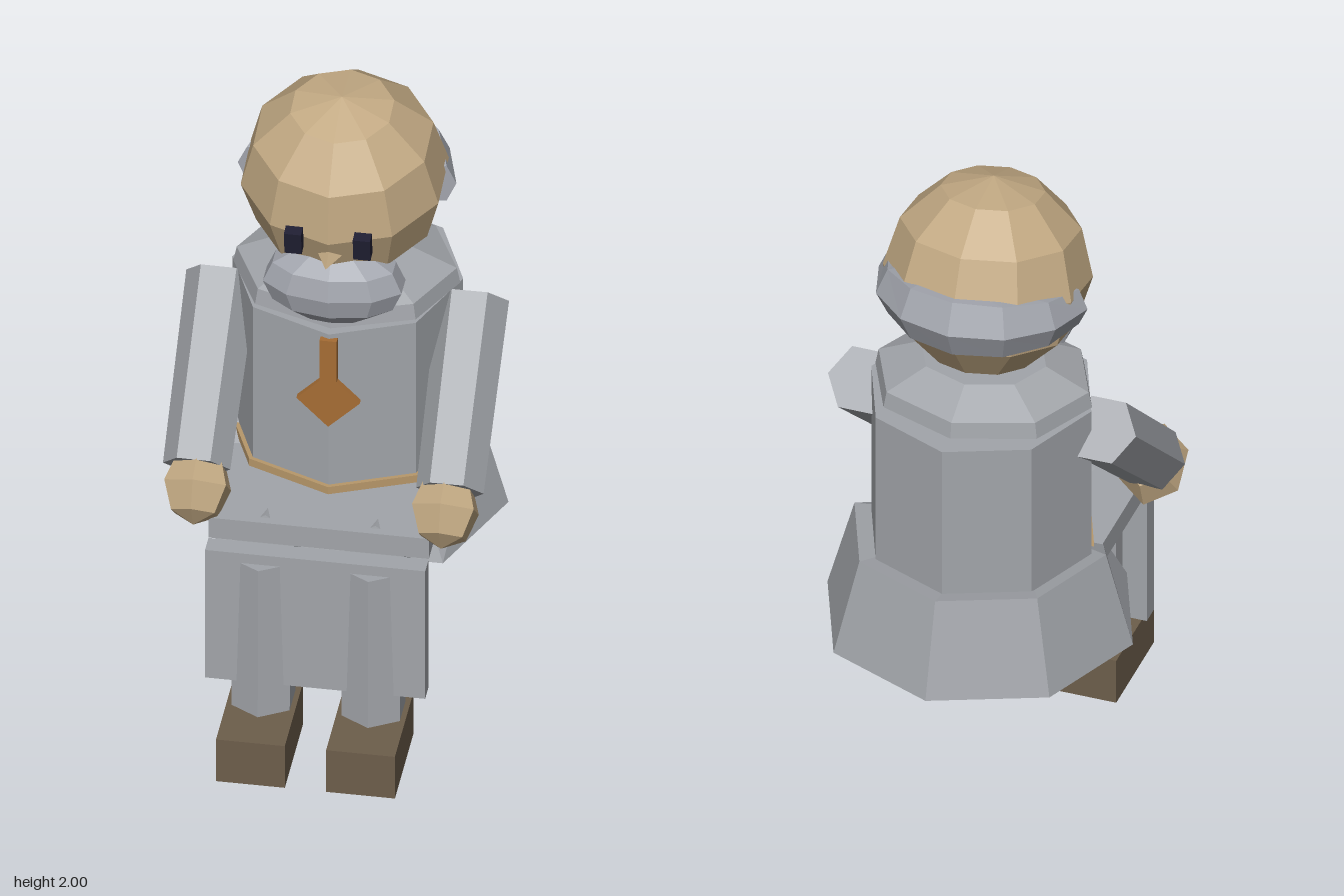
import * as THREE from 'three';

const mat = (name, color) => Object.assign(new THREE.MeshStandardMaterial({ color, flatShading: true }), { name });

// Joins equal rings of points into a closed, faceted solid
function loft(rings) {
  const pos = [], n = rings[0].length;
  const tri = (...pts) => pts.forEach(p => pos.push(p.x, p.y, p.z));
  const first = rings[0], last = rings[rings.length - 1];
  for (let r = 0; r + 1 < rings.length; r++) {
    for (let i = 0; i < n; i++) {
      const j = (i + 1) % n, a = rings[r], b = rings[r + 1];
      tri(a[i], a[j], b[j]);
      tri(a[i], b[j], b[i]);
    }
  }
  for (let i = 1; i + 1 < n; i++) {
    tri(first[0], first[i + 1], first[i]);
    tri(last[0], last[i], last[i + 1]);
  }
  const g = new THREE.BufferGeometry();
  g.setAttribute('position', new THREE.Float32BufferAttribute(pos, 3));
  g.computeVertexNormals();
  return g;
}

export function createModel() {
  const model = new THREE.Group();
  model.name = 'seatedElder';
  const skin = mat('skin', 0xc2a983);
  const robe = mat('robe grey', 0xa2a5aa);
  const hair = mat('hair grey', 0xa2a5ad);
  const leather = mat('shoe brown', 0x6d5e4b);
  const bronze = mat('pendant bronze', 0xa66d34);
  const trim = mat('belt tan', 0xb8986a);
  const dark = mat('eye dark', 0x201f33);

  const add = (name, geo, m, x = 0, y = 0, z = 0) => {
    const mesh = new THREE.Mesh(geo, m);
    mesh.name = name;
    mesh.position.set(x, y, z);
    model.add(mesh);
    return mesh;
  };
  const box = (name, m, w, h, d, x, y, z) => add(name, new THREE.BoxGeometry(w, h, d), m, x, y, z);
  const ball = (name, m, r, ws, hs, x, y, z) =>
    add(name, new THREE.SphereGeometry(r, ws, hs).rotateY(Math.PI / 2), m, x, y, z);
  const limb = (name, m, from, to, r0, r1, start = 0) => {
    const a = new THREE.Vector3(...from), b = new THREE.Vector3(...to);
    const dir = b.clone().sub(a), mid = a.clone().add(b).multiplyScalar(0.5);
    const mesh = add(name, new THREE.CylinderGeometry(r1, r0, dir.length(), 6, 1, false, start), m, mid.x, mid.y, mid.z);
    mesh.quaternion.setFromUnitVectors(new THREE.Vector3(0, 1, 0), dir.normalize());
    return mesh;
  };

  // Torso, collar and belt
  add('torso', new THREE.CylinderGeometry(0.335, 0.335, 0.58, 8), robe, 0, 1.03, -0.13);
  add('collarBase', new THREE.CylinderGeometry(0.32, 0.33, 0.05, 8), robe, 0, 1.345, -0.11).scale.z = 0.86;
  add('collarSlope', new THREE.CylinderGeometry(0.19, 0.32, 0.06, 8), robe, 0, 1.4, -0.11).scale.z = 0.86;
  add('belt', new THREE.CylinderGeometry(0.348, 0.348, 0.025, 8), trim, 0, 0.778, -0.13);

  // Flared coat skirt, cut low at the front
  const skirtRing = (r, top) => Array.from({ length: 8 }, (_, i) => {
    const a = i * Math.PI / 4, front = Math.cos(a) > 0.1;
    const z = Math.min(-0.14 + r * Math.cos(a), -0.14 + r * Math.SQRT1_2);
    return new THREE.Vector3(r * Math.sin(a), top ? (front ? 0.695 : 0.835) : 0.54, z);
  });
  add('coatSkirt', loft([skirtRing(0.465, false), skirtRing(0.383, true)]), robe);

  // Cloth over the lap and hanging in front of the shins
  box('lapCloth', robe, 0.64, 0.07, 0.48, 0, 0.725, 0.14);
  box('frontCloth', robe, 0.64, 0.45, 0.06, 0, 0.465, 0.412);

  // Pendant
  box('pendantStrap', bronze, 0.05, 0.15, 0.02, 0, 1.23, 0.207);
  const diamond = box('pendantDiamond', bronze, 0.13, 0.13, 0.02, 0, 1.095, 0.207);
  diamond.rotation.z = Math.PI / 4;

  // Arms, hands, legs, shoes and eyes
  for (const [side, s] of [['left', 1], ['right', -1]]) {
    limb(side + 'Arm', robe, [s * 0.368, 0.88, 0.3], [s * 0.365, 1.26, -0.125], 0.098, 0.104, Math.PI / 6);
    ball(side + 'Hand', skin, 0.115, 6, 4, s * 0.36, 0.835, 0.33).rotation.x = -0.75;
    model.children[model.children.length - 1].scale.set(0.9, 1, 1.06);
    limb(side + 'Thigh', robe, [s * 0.16, 0.585, -0.11], [s * 0.16, 0.67, 0.37], 0.1, 0.1);
    limb(side + 'Shin', robe, [s * 0.16, 0.14, 0.385], [s * 0.16, 0.655, 0.375], 0.098, 0.1);
    box(side + 'Shoe', leather, 0.2, 0.147, 0.32, s * 0.16, 0.0735, 0.45);
    box(side + 'Eye', dark, 0.05, 0.075, 0.035, s * 0.1, 1.65, 0.215).rotation.x = 0.15;
  }

  // Strap end hanging behind one shin
  box('strapEnd', trim, 0.04, 0.2, 0.025, 0.13, 0.43, 0.262).rotation.x = -0.15;

  // Head, nose and beard
  ball('head', skin, 0.302, 10, 6, 0, 1.7, -0.075).rotation.x = 0.17;
  const nose = add('nose', new THREE.ConeGeometry(0.045, 0.1, 4), skin, 0, 1.588, 0.21);
  nose.rotation.x = Math.PI / 2;
  ball('beard', hair, 1, 10, 6, 0, 1.445, 0.11).scale.set(0.212, 0.128, 0.115);

  // Band of hair around the back of the head, narrower at its ends
  const hairRings = [];
  for (let k = 0; k <= 6; k++) {
    const t = k / 6, a = THREE.MathUtils.degToRad(98 + 164 * t), bulge = Math.sin(Math.PI * t);
    const r = 0.07 + 0.035 * bulge, y = 1.665 + 0.03 * bulge;
    hairRings.push(Array.from({ length: 6 }, (_, i) => {
      const b = i * Math.PI / 3 + Math.PI / 6, R = 0.265 + 0.8 * r * Math.sin(b);
      return new THREE.Vector3(R * Math.sin(a), y + r * Math.cos(b), -0.07 + R * Math.cos(a));
    }));
  }
  add('hairBand', loft(hairRings), hair);

  return model;
}
